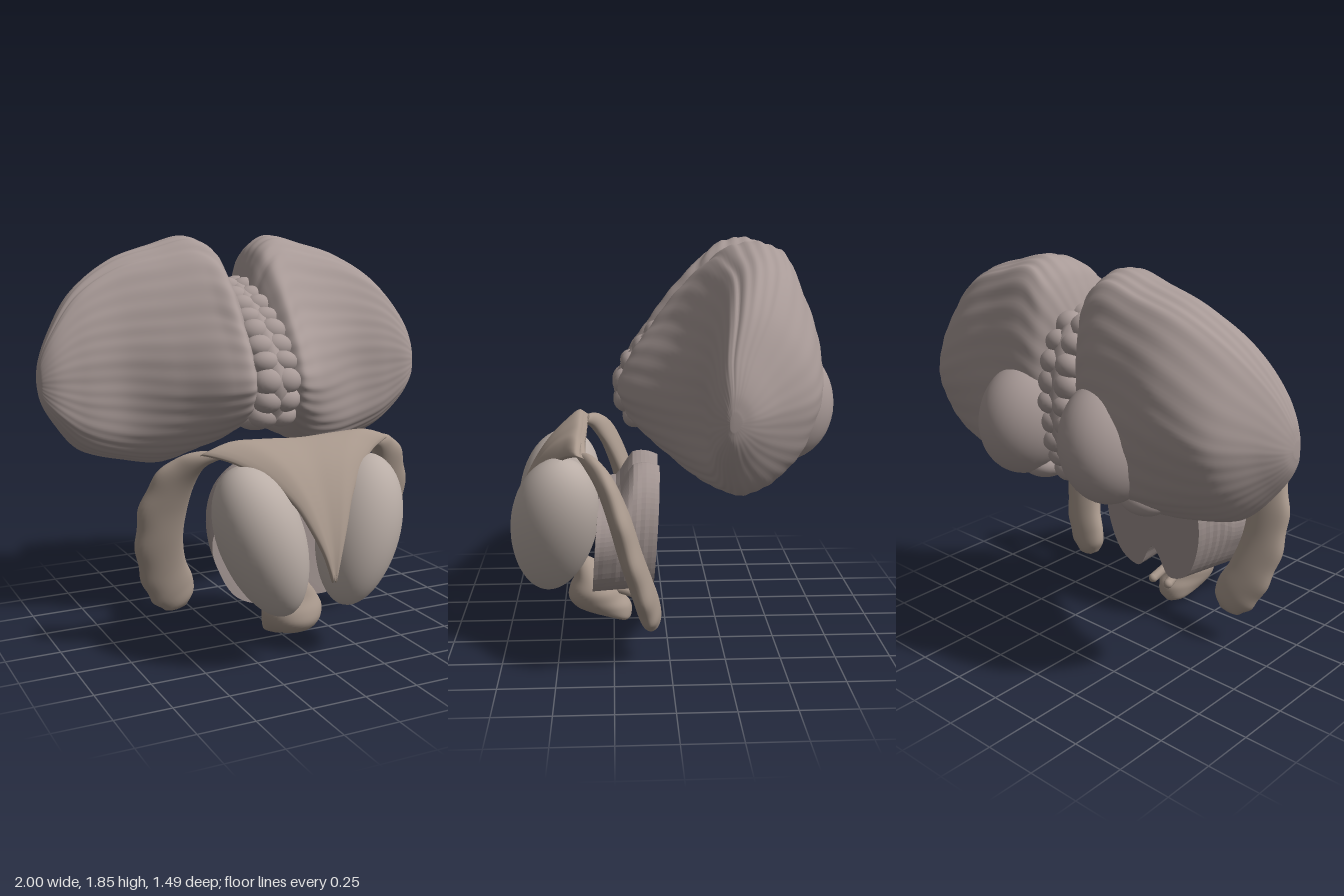
import * as THREE from 'three';

const V = (x, y, z) => new THREE.Vector3(x, y, z);
const mat = (color) => new THREE.MeshStandardMaterial({ color, side: THREE.DoubleSide });
const FOLDED = mat(0xa89a97), PALE = mat(0xb9ada6), TAN = mat(0xa8988c), STEM = mat(0xa09390);

// Smoothly resample a list of points
function resample(pts, n, closed) {
  const c = new THREE.CatmullRomCurve3(pts, closed, 'centripetal');
  return Array.from({ length: n }, (_, i) => c.getPoint(i / (closed ? n : n - 1)));
}

// Refine rings of points: around each ring, then from ring to ring
function refine(rings, around, along) {
  const rs = rings.map((r) => resample(r, around, true));
  const cols = Array.from({ length: around }, (_, j) => resample(rs.map((r) => r[j]), along, false));
  return Array.from({ length: along }, (_, i) => cols.map((c) => c[i]));
}

// n points given by a rule of the angle
const ringOf = (n, rule) => Array.from({ length: n }, (_, k) => rule((k / n) * Math.PI * 2));
const centreOf = (ring) => ring.reduce((s, p) => s.add(p), V(0, 0, 0)).divideScalar(ring.length);

// Capped skin over rings; winding is flipped when the volume is negative
function loft(rings) {
  const n = rings[0].length, m = rings.length, pts = rings.flat(), idx = [];
  for (let i = 0; i < m - 1; i++) {
    for (let j = 0; j < n; j++) {
      const a = i * n + j, b = i * n + ((j + 1) % n);
      idx.push(a, b, a + n, b, b + n, a + n);
    }
  }
  [0, m - 1].forEach((r, k) => {
    const ci = pts.push(centreOf(rings[r])) - 1;
    for (let j = 0; j < n; j++) {
      const a = r * n + j, b = r * n + ((j + 1) % n);
      if (k) idx.push(a, b, ci); else idx.push(b, a, ci);
    }
  });
  let vol = 0;
  for (let i = 0; i < idx.length; i += 3) {
    vol += pts[idx[i]].dot(V(0, 0, 0).crossVectors(pts[idx[i + 1]], pts[idx[i + 2]]));
  }
  if (vol < 0) idx.reverse();
  const g = new THREE.BufferGeometry().setFromPoints(pts);
  g.setIndex(idx);
  g.computeVertexNormals();
  return g;
}

function add(parent, name, geo, material) {
  const m = new THREE.Mesh(geo, material);
  m.name = name;
  parent.add(m);
  return m;
}

function ellipsoid(parent, name, p, r, material, rot = [0, 0, 0], seg = 32) {
  const m = add(parent, name, new THREE.SphereGeometry(1, seg, seg * 0.75), material);
  m.position.set(...p);
  m.scale.set(...r);
  m.rotation.set(...rot);
}

// Side-to-side sections of one hemisphere: x, then (z, y) pairs starting at the front
const HEMI = [
  [0.13, 0.22, 1.18, 0.08, 1.46, -0.25, 1.79, -0.5, 1.75, -0.58, 1.36, -0.5, 0.95, -0.25, 0.98, 0.1, 1.0],
  [0.22, 0.18, 1.17, 0, 1.5, -0.27, 1.83, -0.5, 1.81, -0.61, 1.4, -0.53, 0.92, -0.25, 0.88, 0.06, 0.95],
  [0.4, 0.01, 1.15, -0.09, 1.48, -0.28, 1.79, -0.5, 1.77, -0.62, 1.4, -0.54, 0.93, -0.25, 0.79, -0.05, 0.9],
  [0.6, -0.12, 1.15, -0.15, 1.45, -0.28, 1.73, -0.47, 1.71, -0.63, 1.35, -0.52, 0.95, -0.28, 0.81, -0.15, 0.89],
  [0.8, -0.14, 1.15, -0.16, 1.4, -0.25, 1.6, -0.4, 1.58, -0.57, 1.28, -0.47, 1, -0.28, 0.87, -0.17, 0.95],
];

function hemisphere(s) {
  const rows = HEMI.map(([x, ...zy]) =>
    Array.from({ length: 8 }, (_, i) => V(s * x, zy[2 * i + 1], zy[2 * i])));
  // Both ends close by shrinking the nearest section
  const shrunk = (row, x, z, k) => row.map((p) => V(s * x, 1.2 + (p.y - 1.2) * k, z + (p.z - z) * k));
  const rings = refine([
    shrunk(rows[0], 0.04, -0.2, 0.68), shrunk(rows[0], 0.085, -0.2, 0.88), ...rows,
    shrunk(rows[4], 0.93, -0.17, 0.57), shrunk(rows[4], 0.985, -0.2, 0.28), shrunk(rows[4], 0.998, -0.21, 0.1),
  ], 192, 72);
  // Fine folds running from the middle to the outer edge, and one deeper fissure
  rings.forEach((ring, i) => {
    const c = centreOf(ring), u = i / 71;
    ring.forEach((p, j) => {
      const t = (j / ring.length) * Math.PI * 2;
      const f = 0.005 * Math.sin(34 * t + 3 * Math.sin(5 * u)) + 0.005 * Math.sin(13 * t + 4 * u)
        - 0.03 * Math.exp(-(((t - 1.3 - 0.4 * u) / 0.05) ** 2));
      p.sub(c).multiplyScalar(1 + f).add(c);
    });
  });
  return loft(rings);
}

// Curved arm: centre x, y, z, half width, half thickness
const ARM = [
  [0.38, 0.935, 0.4, 0.015, 0.012], [0.45, 0.915, 0.35, 0.04, 0.03], [0.525, 0.84, 0.285, 0.085, 0.042],
  [0.572, 0.7, 0.225, 0.11, 0.05], [0.58, 0.53, 0.175, 0.113, 0.052], [0.545, 0.37, 0.125, 0.113, 0.052],
  [0.49, 0.26, 0.095, 0.11, 0.052], [0.45, 0.2, 0.083, 0.08, 0.045], [0.43, 0.172, 0.08, 0.025, 0.02],
];

function arm(s) {
  const curve = ARM.map(([x, y, z]) => V(x, y, z));
  const rings = refine(ARM.map(([, , , wide, thick], i) => {
    const d = curve[Math.min(i + 1, 8)].clone().sub(curve[Math.max(i - 1, 0)]).normalize();
    const w = V(-d.y, d.x, 0).normalize(), t = V(0, 0, 0).crossVectors(d, w);
    return ringOf(12, (q) =>
      curve[i].clone().addScaledVector(w, wide * Math.cos(q)).addScaledVector(t, thick * Math.sin(q)));
  }), 32, 70);
  // Scalloped outer edge
  rings.forEach((r, i) => r.forEach((p, j) => {
    p.x = s * (p.x + 0.005 * Math.sin(i * 0.75) * Math.max(0, Math.cos((j / 32) * Math.PI * 2)));
  }));
  return loft(rings);
}

// Triangular arched sheet: half width, y, z, drop at the edges
const SHEET = [
  [0.46, 0.965, 0.385, 0.02], [0.455, 0.985, 0.41, 0.035], [0.34, 0.955, 0.475, 0.04], [0.225, 0.88, 0.56, 0.04],
  [0.14, 0.77, 0.635, 0.02], [0.085, 0.65, 0.69, 0.01], [0.04, 0.53, 0.725, 0], [0.008, 0.42, 0.74, 0],
];

function sheet() {
  const rings = SHEET.map(([w, y, z, drop]) => {
    const row = (o) => [-1, -0.75, -0.4, 0, 0.4, 0.75, 1].map((u) =>
      V(u * w, y + 0.02 * Math.sin(u * u * Math.PI) - drop * u ** 4 - o * 0.7, z - o));
    return [...row(0), ...row(0.016).reverse()];
  });
  return loft(refine(rings, 56, 40));
}

// Stem block with a flat cut back, a lower notch and a small canal
function stemBlock() {
  const half = [[0.12, 0.81], [0.24, 0.73], [0.295, 0.6], [0.285, 0.42], [0.21, 0.26], [0.1, 0.22], [0.035, 0.32]];
  const pts = [[0, 0.765], ...half, [0, 0.36], ...half.map(([x, y]) => [-x, y]).reverse()];
  const outline = resample(pts.map(([x, y]) => V(x, y, 0)), 96, true);
  const shape = new THREE.Shape(outline.map((p) => new THREE.Vector2(p.x, p.y)));
  shape.holes.push(new THREE.Path().absarc(0, 0.66, 0.022, 0, Math.PI * 2, true));
  const g = new THREE.ExtrudeGeometry(shape, { depth: 0.28, steps: 14, bevelEnabled: false });
  const p = g.attributes.position;
  for (let i = 0; i < p.count; i++) {
    const x = p.getX(i), y = p.getY(i), t = p.getZ(i) / 0.28;
    const grow = 1 + 0.3 * t + 0.006 * Math.sin(t * 40);
    // The top swells slightly, then steps down towards the front
    const top = 0.05 * Math.sin(t * 6) * (t < 0.5) - 0.27 * THREE.MathUtils.smoothstep(t, 0.42, 0.75);
    p.setXYZ(i, x * grow, y + top * Math.max(0, y - 0.4), 0.03 + 0.285 * t + (0.8 - y) * 0.06);
  }
  g.computeVertexNormals();
  return g;
}

// Small lower body: y, z, half width, half depth
const LOWER = [
  [0.005, 0.2, 0.025, 0.02], [0.03, 0.215, 0.075, 0.05], [0.085, 0.3, 0.115, 0.135], [0.13, 0.335, 0.135, 0.135],
  [0.18, 0.345, 0.142, 0.12], [0.235, 0.355, 0.115, 0.085], [0.3, 0.375, 0.06, 0.05], [0.33, 0.385, 0.015, 0.015],
];

// Middle ridge line: z, y
const RIDGE = [[0.14, 1.04], [0.19, 1.18], [0.11, 1.33], [0, 1.44], [-0.15, 1.54], [-0.32, 1.6], [-0.46, 1.56],
  [-0.53, 1.42], [-0.55, 1.22], [-0.52, 1.05], [-0.46, 0.93]];

export function createModel() {
  const root = new THREE.Group();
  root.name = 'explodedInnerBrain';
  const rear = new THREE.Group();
  rear.name = 'cerebellum';
  root.add(rear);

  // Segmented ridge between the hemispheres: broad overlapping folds
  const path = new THREE.CatmullRomCurve3(RIDGE.map(([z, y]) => V(0, y, z)));
  add(rear, 'ridgeCore', new THREE.TubeGeometry(path, 60, 0.05, 12), FOLDED);
  for (let i = 0; i < 20; i++) {
    const p = path.getPointAt(i / 19), d = path.getTangentAt(i / 19);
    for (const s of [1, -1]) {
      ellipsoid(rear, 'ridgeFold', [s * 0.045, p.y, p.z], [0.075, 0.06 + 0.006 * (i % 2), 0.056 + 0.004 * (i % 3)],
        FOLDED, [Math.atan2(-d.y, d.z), 0, 0], 16);
    }
  }

  for (const s of [1, -1]) {
    // Folded rear mass
    add(rear, 'hemisphere', hemisphere(s), FOLDED);
    ellipsoid(rear, 'rearLobe', [s * 0.25, 1.14, -0.51], [0.2, 0.27, 0.24], FOLDED, [0.1, 0, s * 0.15]);
    ellipsoid(rear, 'lowerLobule', [s * 0.38, 0.89, -0.44], [0.12, 0.07, 0.09], FOLDED);
    ellipsoid(rear, 'lowerLobule', [s * 0.2, 0.92, -0.46], [0.11, 0.07, 0.11], FOLDED);

    // Egg body, leaning back towards the top
    const egg = new THREE.SphereGeometry(1, 40, 30), p = egg.attributes.position;
    for (let i = 0; i < p.count; i++) {
      const y = p.getY(i), k = 1 + 0.1 * y;
      p.setXYZ(i, p.getX(i) * k, y, p.getZ(i) * k - 0.18 * y);
    }
    egg.computeVertexNormals();
    const body = add(root, 'eggBody', egg, PALE);
    body.position.set(s * 0.238, 0.565, 0.52);
    body.scale.set(0.187, 0.343, 0.2);
    body.rotation.z = -s * 0.29;

    add(root, 'curvedArm', arm(s), TAN);

    // Short prong behind the lower body
    const prong = new THREE.CatmullRomCurve3([V(s * 0.03, 0.19, 0.3), V(s * 0.04, 0.17, 0.2), V(s * 0.05, 0.14, 0.12)]);
    add(root, 'prong', new THREE.TubeGeometry(prong, 12, 0.024, 12), TAN);
    ellipsoid(root, 'prongTip', [s * 0.05, 0.14, 0.12], [0.024, 0.024, 0.024], TAN, [0, 0, 0], 12);
  }

  add(root, 'archSheet', sheet(), TAN);
  add(root, 'stemBlock', stemBlock(), STEM);
  add(root, 'lowerBody', loft(refine(LOWER.map(([y, z, rx, rz]) =>
    ringOf(12, (q) => V(rx * Math.cos(q), y, z + rz * Math.sin(q)))), 40, 36)), TAN);
  return root;
}
